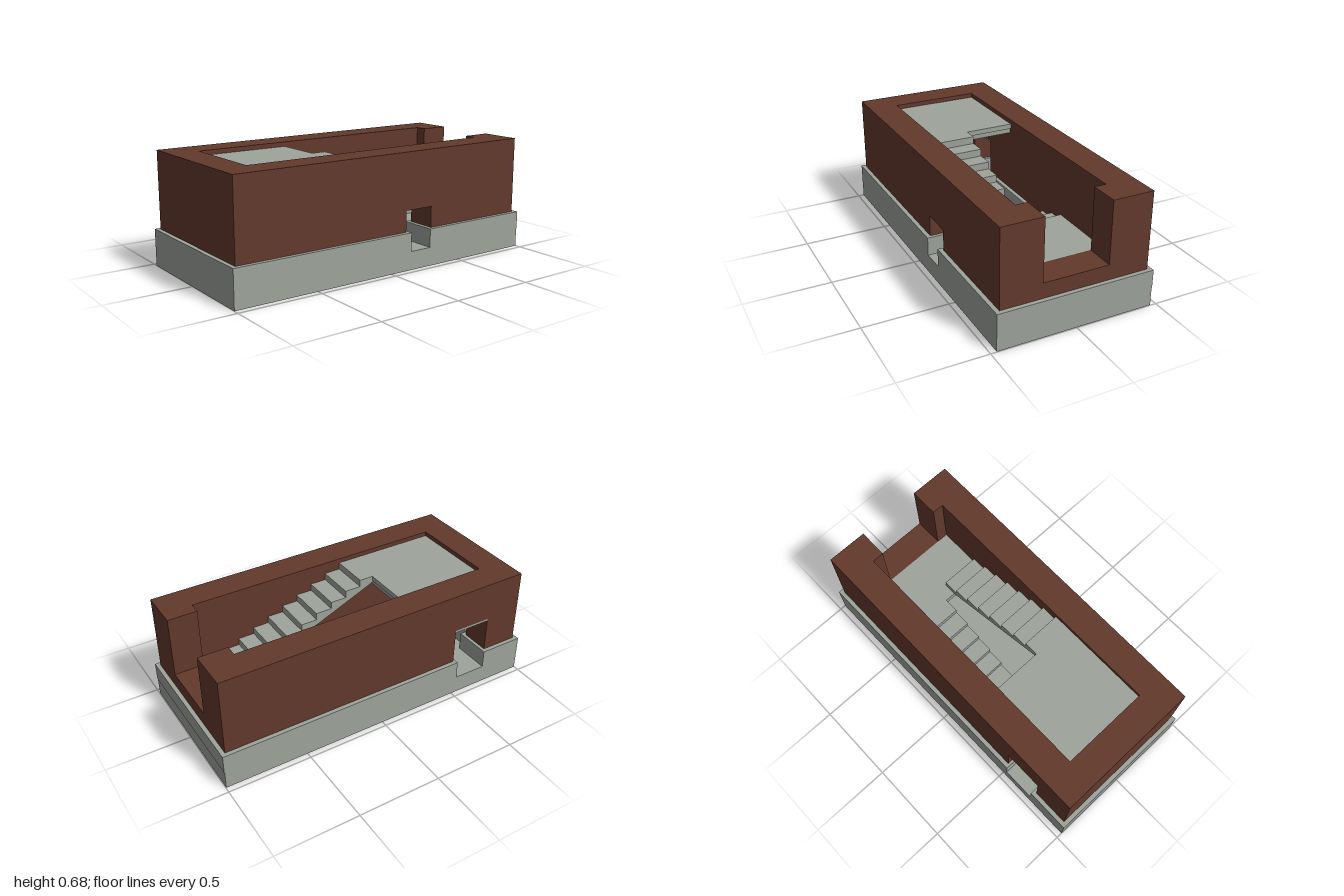
import * as THREE from 'three';

const stone = new THREE.MeshStandardMaterial({ color: 0x9ea39b });
stone.name = 'grey stone';
const brick = new THREE.MeshStandardMaterial({ color: 0x63392c });
brick.name = 'brown brick';

export function createModel() {
  const model = new THREE.Group();
  model.name = 'stairHouse';

  const add = (name, geometry, material) => {
    const mesh = new THREE.Mesh(geometry, material);
    mesh.name = name;
    model.add(mesh);
  };
  // box given by its limits on each axis
  const box = (name, material, [x0, x1], [y0, y1], [z0, z1]) => {
    const g = new THREE.BoxGeometry(x1 - x0, y1 - y0, z1 - z0);
    g.translate((x0 + x1) / 2, (y0 + y1) / 2, (z0 + z1) / 2);
    add(name, g, material);
  };
  const extrude = (points, depth) => new THREE.ExtrudeGeometry(
    new THREE.Shape(points.map(p => new THREE.Vector2(...p))), { depth, bevelEnabled: false });
  // (z, y) profile extruded from x0 to x1
  const sideProfile = (name, material, points, x0, x1) =>
    add(name, extrude(points, x1 - x0).rotateY(-Math.PI / 2).translate(x1, 0, 0), material);

  const floor = 0.11, baseTop = 0.22, top = 0.68, lower = 0.31, upper = 0.653;

  // base: floor slab and a hollow rim, open at the two side doorways
  box('baseSlab', stone, [-0.465, 0.465], [0, floor], [-0.997, 1]);
  box('baseRimFront', stone, [-0.465, 0.465], [floor, baseTop], [0.775, 1]);
  box('baseRimBack', stone, [-0.465, 0.465], [floor, baseTop], [-1, -0.775]);
  const openings = [
    { side: 'left', x: [0.24, 0.465], wall: [0.265, 0.44], base: [-0.28, -0.14], z: [-0.305, -0.12], y: 0.345 },
    { side: 'right', x: [-0.465, -0.24], wall: [-0.44, -0.265], base: [0.53, 0.73], z: [0.515, 0.75], y: 0.44 },
  ];
  for (const o of openings) {
    box(o.side + 'BaseRimBack', stone, o.x, [floor, baseTop], [-0.775, o.base[0]]);
    box(o.side + 'BaseRimFront', stone, o.x, [floor, baseTop], [o.base[1], 0.775]);
    // side wall with a doorway cut up from its foot
    sideProfile(o.side + 'Wall', brick, [
      [-0.975, baseTop], [o.z[0], baseTop], [o.z[0], o.y], [o.z[1], o.y],
      [o.z[1], baseTop], [0.975, baseTop], [0.975, top], [-0.975, top],
    ], ...o.wall);
  }
  box('rightDoorLintel', stone, [-0.439, -0.27], [0.425, 0.44], [0.515, 0.75]);

  // end walls, the back one with a wide entrance gap
  box('frontWall', brick, [-0.44, 0.44], [baseTop, top], [0.8, 0.975]);
  add('backWall', extrude([
    [-0.44, baseTop], [0.44, baseTop], [0.44, top], [0.195, top],
    [0.195, lower], [-0.195, lower], [-0.195, top], [-0.44, top],
  ], 0.175).translate(0, 0, -0.975), brick);

  // landings
  box('lowerLanding', stone, [-0.265, 0.265], [lower - 0.04, lower], [-0.8, -0.465]);
  box('upperLanding', stone, [-0.265, 0.265], [upper - 0.03, upper], [0.24, 0.8]);
  box('upperLandingBeam', stone, [-0.265, 0.265], [upper - 0.06, upper - 0.03], [0.25, 0.8]);

  // upper flight climbs to the front
  const rise = (upper - lower) / 8, run = 0.0993, start = -0.54;
  const flight = [[start, lower]];
  for (let i = 0; i < 8; i++) {
    flight.push([start + i * run, lower + (i + 1) * rise]);
    flight.push([start + (i + 1) * run, lower + (i + 1) * rise]);
  }
  flight.push([start + 8 * run, upper - 0.035], [start + 0.06, lower - 0.01]);
  sideProfile('upperStairs', stone, flight, 0.03, 0.265);

  // lower flight goes down to the basement floor
  const drop = (lower - floor) / 6;
  const descent = [[-0.475, lower - 0.015], [-0.475, lower]];
  for (let i = 0; i < 6; i++) {
    descent.push([-0.375 + i * 0.1, lower - i * drop]);
    descent.push([-0.375 + i * 0.1, lower - (i + 1) * drop]);
  }
  descent.push([0.09, floor]);
  sideProfile('lowerStairs', stone, descent.reverse(), -0.265, -0.035);

  return model;
}
